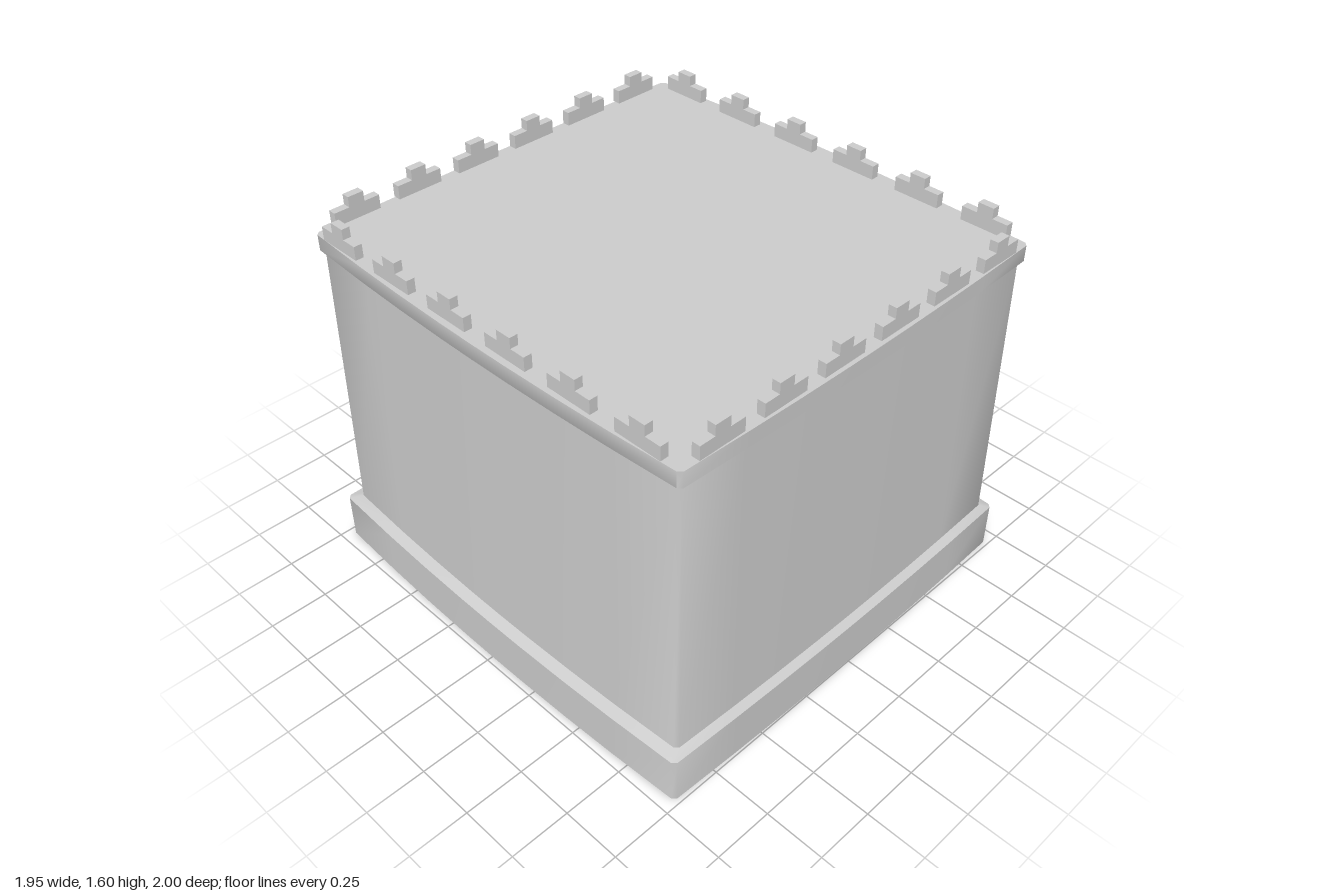
import * as THREE from 'three';
import { toCreasedNormals } from 'three/addons/utils/BufferGeometryUtils.js';

const BULGE_X = 0.03, BULGE_Z = 0.018;
const STEPS = [-0.985, -0.677, -0.43, -0.18, 0, 0.18, 0.43, 0.677, 0.985];

// Rectangle with gently bowed sides and clipped corners, listed front, +x, back, -x
function ring([y, hx, hz, zc]) {
  const cx = hx - BULGE_X, cz = hz - BULGE_Z;
  const alongX = (t) => [t * cx, hz - BULGE_Z * t * t];
  const alongZ = (t) => [hx - BULGE_X * t * t, -t * cz];
  const pts = [];
  for (let side = 0; side < 4; side++) {
    const s = side < 2 ? 1 : -1;
    for (const t of STEPS) {
      const [x, z] = side % 2 ? alongZ(t) : alongX(t);
      pts.push([s * x, y, s * z + zc]);
    }
  }
  return pts;
}

// Skin through stacked rings; skip(i) leaves out a column of quads
function loft(rows, skip = () => false) {
  const rings = rows.map(ring), pos = [];
  for (let r = 0; r + 1 < rings.length; r++) {
    const lo = rings[r], hi = rings[r + 1], n = lo.length;
    for (let i = 0; i < n; i++) {
      if (skip(i)) continue;
      const j = (i + 1) % n;
      pos.push(...lo[i], ...lo[j], ...hi[j], ...lo[i], ...hi[j], ...hi[i]);
    }
  }
  return fromPositions(pos);
}

function fromPositions(pos) {
  const g = new THREE.BufferGeometry();
  g.setAttribute('position', new THREE.Float32BufferAttribute(pos, 3));
  return toCreasedNormals(g, 0.85);
}

// Makes a part follow the bow of the back wall
function bend(g) {
  const p = g.attributes.position;
  for (let i = 0; i < p.count; i++) {
    p.setZ(i, p.getZ(i) + BULGE_Z * (p.getX(i) / 0.94) ** 2);
  }
  g.computeVertexNormals();
  return g;
}

const polygon = (pts) => new THREE.Shape(pts.map(([x, y]) => new THREE.Vector2(x, y)));
const rect = (x0, y0, x1, y1) => [[x0, y0], [x1, y0], [x1, y1], [x0, y1]];

export function createModel() {
  const model = new THREE.Group();
  model.name = 'house';
  const stone = new THREE.MeshStandardMaterial({ color: 0xcccccc, side: THREE.DoubleSide });
  stone.name = 'pale grey stone';
  const add = (name, geometry, parent = model) => {
    const mesh = new THREE.Mesh(geometry, stone);
    mesh.name = name;
    parent.add(mesh);
    return mesh;
  };

  // Plinth with a sloped ledge, open at the doorway
  const back = 2 * STEPS.length;
  add('plinth', loft([
    [0, 0.975, 0.998, 0], [0.2, 0.975, 0.998, 0], [0.22, 0.933, 0.959, 0.008],
  ], (i) => i === back + 5 || i === back + 6));

  // Tapering walls, then the cornice
  add('walls', loft([[0.22, 0.933, 0.959, 0.008], [1.42, 0.918, 0.949, 0.008]]));
  const top = [1.5, 0.931, 0.966, 0.008];
  add('cornice', loft([[1.42, 0.918, 0.949, 0.008], [1.434, 0.931, 0.966, 0.008], top]));

  // Flat roof
  const edge = ring(top), roof = [];
  edge.forEach((p, i) => roof.push(0, 1.5, 0, ...p, ...edge[(i + 1) % edge.length]));
  add('roof', fromPositions(roof));

  // Stepped battlements, six on each side
  const merlon = new THREE.ExtrudeGeometry(polygon([
    [-0.1, 0], [0.1, 0], [0.1, 0.057], [0.034, 0.057],
    [0.034, 0.1], [-0.034, 0.1], [-0.034, 0.057], [-0.1, 0.057],
  ]), { depth: 0.034, bevelEnabled: false });
  merlon.translate(0, 0, -0.017);
  const battlements = new THREE.Group();
  battlements.name = 'battlements';
  model.add(battlements);
  for (let i = 0; i < 6; i++) {
    for (const s of [-1, 1]) {
      add('merlon', merlon, battlements).position.set((i - 2.5) * 0.288, 1.5, s * 0.94);
      const side = add('merlon', merlon, battlements);
      side.position.set(s * 0.887, 1.5, (i - 2.5) * 0.311 - 0.002);
      side.rotation.y = Math.PI / 2;
    }
  }

  // Door surround, flush with the plinth
  const surround = polygon([
    [-0.7, 0], [-0.64, 0], [-0.64, 0.885], [-0.17, 0.885],
    [-0.17, 0], [-0.1, 0], [-0.1, 0.955], [-0.7, 0.955],
  ]);
  const surroundGeo = new THREE.ExtrudeGeometry(surround, { depth: 0.06, bevelEnabled: false });
  add('doorFrame', bend(surroundGeo.translate(0, 0, -1)));

  // Plank door
  const door = new THREE.Group();
  door.name = 'door';
  model.add(door);
  add('doorBacking', bend(new THREE.BoxGeometry(0.47, 0.885, 0.025).translate(-0.405, 0.4425, -0.9555)), door);
  for (let i = 0; i < 5; i++) {
    const plank = new THREE.BoxGeometry(0.08, 0.885, 0.025);
    add('doorPlank', bend(plank.translate(-0.405 + (i - 2) * 0.094, 0.4425, -0.9705)), door);
  }

  // Window surround with softened edges; the wall itself is the pane
  const frame = polygon(rect(0.245, 0.59, 0.595, 0.945));
  frame.holes.push(new THREE.Path(rect(0.315, 0.66, 0.525, 0.875).map(([x, y]) => new THREE.Vector2(x, y))));
  const frameGeo = new THREE.ExtrudeGeometry(frame, {
    depth: 0.035, bevelThickness: 0.012, bevelSize: 0.008, bevelSegments: 1,
  });
  add('windowFrame', bend(frameGeo.translate(0, 0, -0.988)));

  return model;
}
